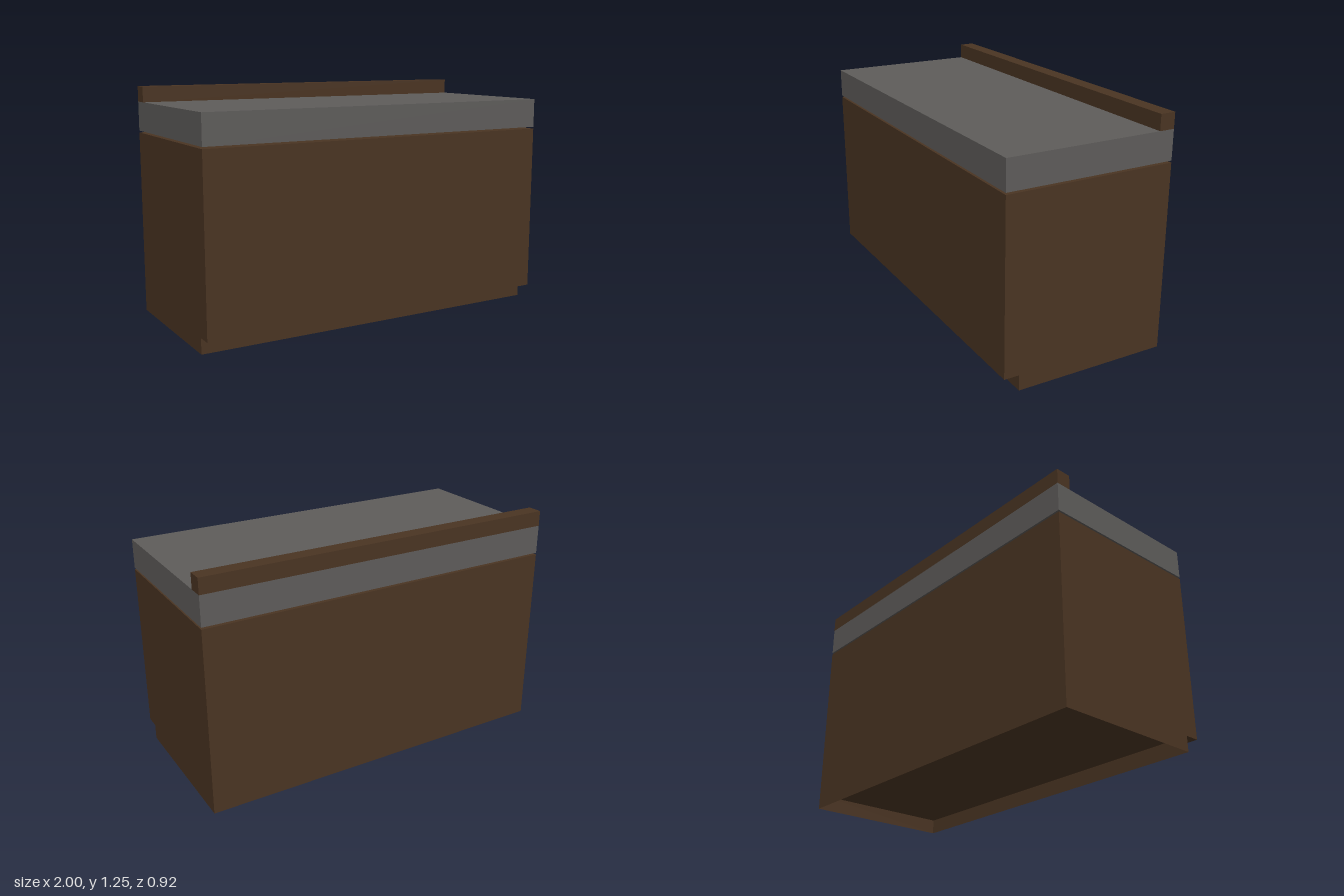
import * as THREE from 'three';

export function createModel() {
  const group = new THREE.Group();
  const wood = new THREE.MeshStandardMaterial({ color: 0x4a3422, side: THREE.DoubleSide });
  wood.name = 'dark brown wood';
  const stone = new THREE.MeshStandardMaterial({ color: 0x5e5c5a });
  stone.name = 'grey stone';

  const W = 2, BACK = -0.458, FRONT = 0.458;
  const KICK = 0.083, KICK_FRONT = 0.377;

  // Box spanning the full or given width, set by its y and z limits
  function slab(name, material, width, y0, y1, z0, z1) {
    const mesh = new THREE.Mesh(new THREE.BoxGeometry(width, y1 - y0, z1 - z0), material);
    mesh.name = name;
    mesh.position.set(0, (y0 + y1) / 2, (z0 + z1) / 2);
    group.add(mesh);
  }

  // Cabinet, spacer, worktop and rear upstand
  slab('cabinetBody', wood, W, KICK, 1.0, BACK, FRONT);
  slab('worktopSpacer', wood, 1.5, 1.0, 1.01, -0.375, 0.042);
  slab('worktop', stone, W, 1.01, 1.167, BACK, FRONT);
  slab('rearUpstand', wood, W, 1.167, 1.25, BACK, -0.375);

  // Recessed plinth: four thin walls, open underneath
  const plinth = new THREE.Group();
  plinth.name = 'plinth';
  const depth = KICK_FRONT - BACK, midZ = (KICK_FRONT + BACK) / 2;
  const walls = [
    ['plinthFront', W, 0, KICK_FRONT, 0],
    ['plinthBack', W, 0, BACK, Math.PI],
    ['plinthLeft', depth, W / 2, midZ, Math.PI / 2],
    ['plinthRight', depth, -W / 2, midZ, -Math.PI / 2],
  ];
  for (const [name, width, x, z, turn] of walls) {
    const wall = new THREE.Mesh(new THREE.PlaneGeometry(width, KICK), wood);
    wall.name = name;
    wall.position.set(x, KICK / 2, z);
    wall.rotation.y = turn;
    plinth.add(wall);
  }
  group.add(plinth);

  return group;
}
